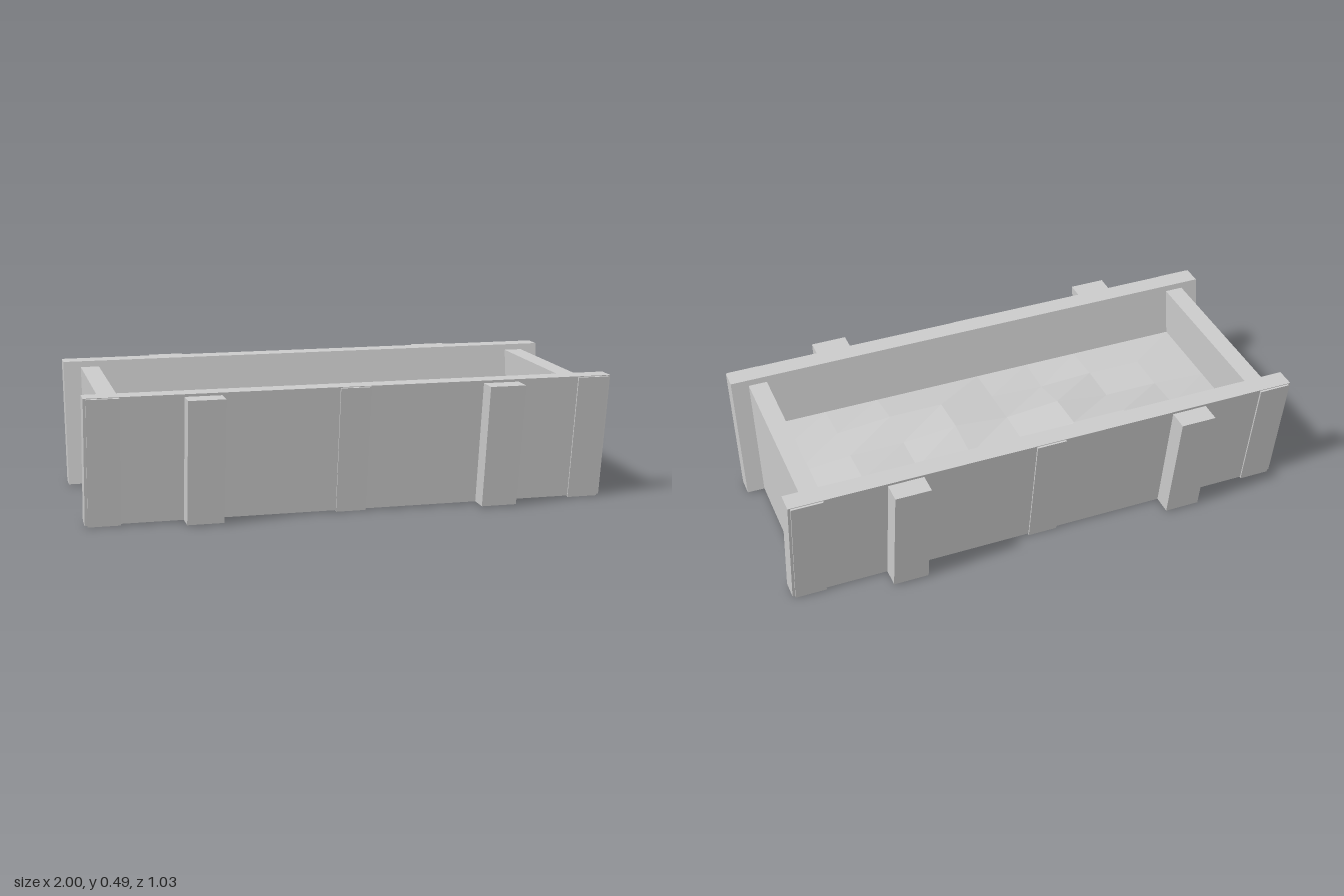
import * as THREE from 'three';

const material = new THREE.MeshStandardMaterial({ color: 0xcccccc, flatShading: true });

// Extrude a (z, y) profile along x from x0 to x1; side = -1 mirrors it to the back
function slab(name, profile, x0, x1, side = 1) {
  const shape = new THREE.Shape(profile.map(([z, y]) => new THREE.Vector2(z * side, y)));
  const geometry = new THREE.ExtrudeGeometry(shape, { depth: x1 - x0, bevelEnabled: false });
  geometry.rotateY(-Math.PI / 2).translate(x1, 0, 0);
  const mesh = new THREE.Mesh(geometry, material);
  mesh.name = name;
  return mesh;
}

// Uneven soil: a coarse grid, level at the rim and lumpy inside
function createSoil() {
  const rim = 0.28;
  const lumps = [
    [0.30, 0.33, 0.33, 0.30, 0.30, 0.30, 0.31],
    [0.29, 0.29, 0.32, 0.30, 0.32, 0.30, 0.30],
    [0.29, 0.29, 0.28, 0.29, 0.31, 0.31, 0.29],
  ];
  const geometry = new THREE.PlaneGeometry(1.72, 0.65, 8, 4).rotateX(-Math.PI / 2);
  const position = geometry.attributes.position;
  for (let i = 0; i < position.count; i++) {
    const column = i % 9, row = Math.floor(i / 9);
    position.setY(i, lumps[row - 1]?.[column - 1] ?? rim);
  }
  geometry.computeVertexNormals();
  const soil = new THREE.Mesh(geometry, material);
  soil.name = 'soil';
  return soil;
}

export function createModel() {
  const model = new THREE.Group();
  model.name = 'planterTrough';

  const wall = [[0.285, 0.005], [0.36, 0.005], [0.435, 0.49], [0.358, 0.49]];
  const batten = [[0.354, 0.002], [0.365, 0], [0.442, 0.486], [0.431, 0.488]];
  const post = [[0.355, 0.005], [0.438, 0.005], [0.514, 0.48], [0.428, 0.48]];

  // Long leaning walls with their thin battens and thick posts
  for (const side of [1, -1]) {
    const label = side > 0 ? 'front' : 'back';
    model.add(slab(label + 'Wall', wall, -1, 1, side));
    for (const [x0, x1] of [[-0.99, -0.87], [-0.06, 0.055], [0.87, 0.99]]) {
      model.add(slab(label + 'Batten', batten, x0, x1, side));
    }
    for (const [x0, x1] of [[-0.637, -0.5], [0.493, 0.63]]) {
      model.add(slab(label + 'Post', post, x0, x1, side));
    }
  }

  // Tapered end boards and the floor between the walls
  const end = [[-0.287, 0.005], [0.287, 0.005], [0.355, 0.467], [-0.355, 0.467]];
  model.add(slab('leftEnd', end, 0.86, 0.932));
  model.add(slab('rightEnd', end, -0.932, -0.86));
  const floor = [[-0.286, 0.005], [0.286, 0.005], [0.289, 0.035], [-0.289, 0.035]];
  model.add(slab('floor', floor, -0.86, 0.86));

  model.add(createSoil());
  return model;
}
